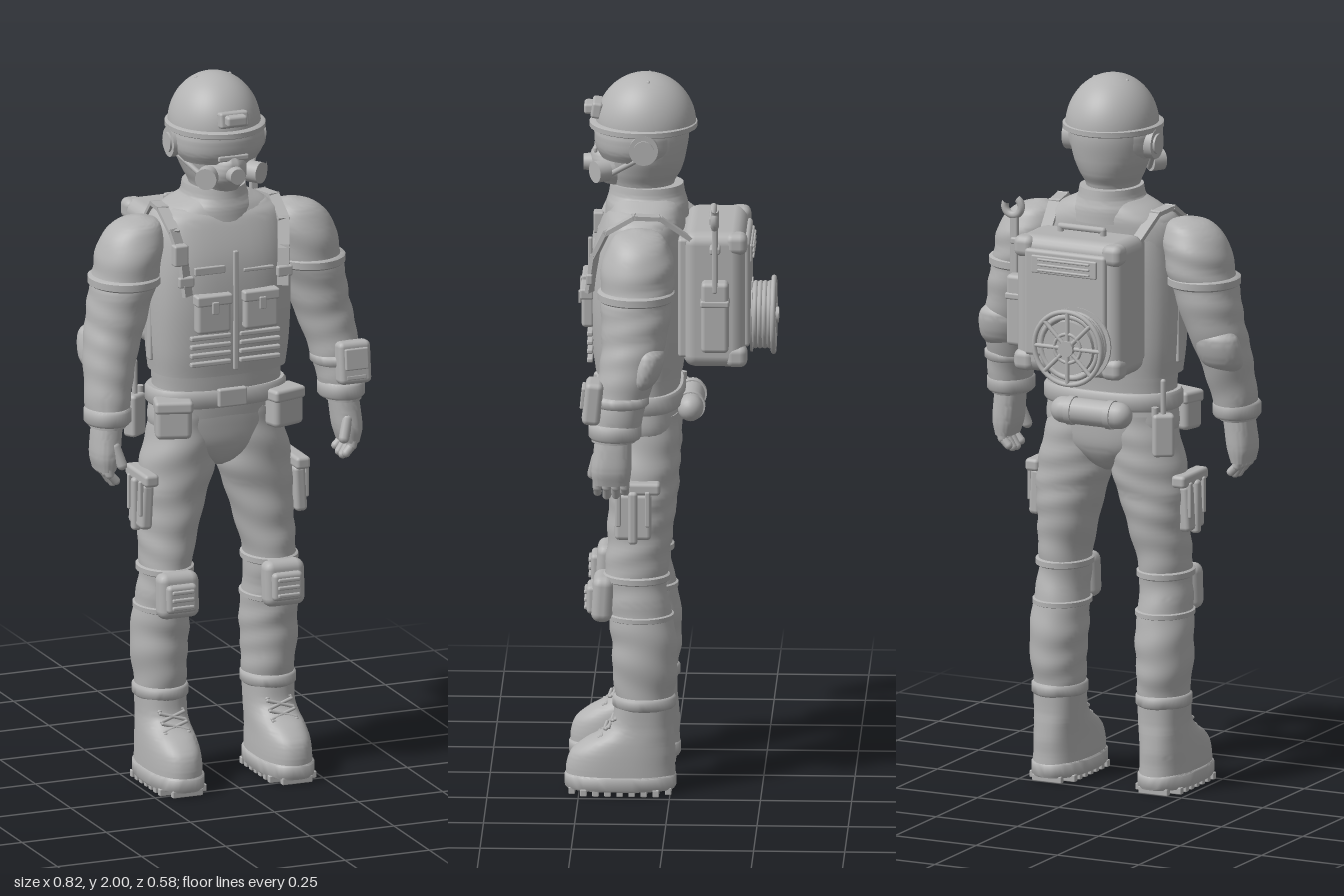
import * as THREE from 'three';
import { toCreasedNormals } from 'three/addons/utils/BufferGeometryUtils.js';
import { RoundedBoxGeometry } from 'three/addons/geometries/RoundedBoxGeometry.js';

const grey = new THREE.MeshStandardMaterial({ color: 0xb3b3b3 });
grey.name = 'plain grey';
const V = (x, y, z) => new THREE.Vector3(x, y, z);

export function createModel() {
  const root = new THREE.Group();
  root.name = 'suitedWorker';
  const add = (name, geo, x = 0, y = 0, z = 0, rx = 0, ry = 0, rz = 0) => {
    const m = new THREE.Mesh(geo, grey);
    m.name = name;
    m.position.set(x, y, z);
    m.rotation.set(rx, ry, rz);
    root.add(m);
    return m;
  };
  const box = (name, w, h, d, x, y, z, r = 0.01, rx = 0, ry = 0, rz = 0) =>
    add(name, new RoundedBoxGeometry(w, h, d, 2, Math.min(r, w / 2.1, h / 2.1, d / 2.1)), x, y, z, rx, ry, rz);
  const cyl = (name, r, h, x, y, z, axis = 'y', r2 = r) =>
    add(name, new THREE.CylinderGeometry(r2, r, h, 28), x, y, z, axis === 'z' ? Math.PI / 2 : 0, 0, axis === 'x' ? Math.PI / 2 : 0);
  // capsule between two points
  const rod = (name, a, b, r) => {
    const m = add(name, new THREE.CapsuleGeometry(r, a.distanceTo(b), 4, 10));
    m.position.copy(a).lerp(b, 0.5);
    m.quaternion.setFromUnitVectors(V(0, 1, 0), b.clone().sub(a).normalize());
  };
  // flat strap through a list of points
  const strap = (name, pts, w, t) => {
    for (let i = 1; i < pts.length; i++) {
      const m = add(name, new THREE.BoxGeometry(w, t, pts[i].distanceTo(pts[i - 1]) + t));
      m.position.copy(pts[i]).lerp(pts[i - 1], 0.5);
      m.lookAt(pts[i]);
    }
  };
  // skin over horizontal sections [y, cx, cz, rx, rz], top to bottom; n sets squareness
  const loft = (name, secs, { n = 2, s = 1, ripple = 0, rows = 6, smooth = true, crease = 0.9 } = {}) => {
    const seg = 40, pos = [], idx = [], last = secs.length - 1;
    const mid = new THREE.CatmullRomCurve3(secs.map(q => V(q[1] * s, q[0], q[2])), false, 'catmullrom', 0.5);
    const rad = new THREE.CatmullRomCurve3(secs.map(q => V(q[3], q[4], 0)), false, 'catmullrom', 0.5);
    const count = smooth ? last * rows : last;
    for (let i = 0; i <= count; i++) {
      const c = smooth ? mid.getPoint(i / count) : mid.points[i];
      const r = smooth ? rad.getPoint(i / count) : rad.points[i];
      for (let j = 0; j < seg; j++) {
        const a = j / seg * Math.PI * 2, ca = Math.cos(a), sa = Math.sin(a);
        const fold = 1 + ripple * (Math.sin(c.y * 75 + 2.2 * Math.sin(a + c.y * 9)) + 0.6 * Math.sin(c.y * 43 - 2 * Math.cos(a)));
        pos.push(c.x + s * Math.sign(ca) * Math.abs(ca) ** (2 / n) * r.x * fold, c.y,
          c.z + Math.sign(sa) * Math.abs(sa) ** (2 / n) * r.y * fold);
      }
    }
    const tri = (a, b, c) => (s > 0 ? idx.push(a, b, c) : idx.push(a, c, b));
    for (let i = 0; i < count; i++) for (let j = 0; j < seg; j++) {
      const k = (j + 1) % seg, a = i * seg;
      tri(a + j, a + k, a + seg + j);
      tri(a + k, a + seg + k, a + seg + j);
    }
    const top = pos.length / 3;
    pos.push(secs[0][1] * s, secs[0][0], secs[0][2], secs[last][1] * s, secs[last][0], secs[last][2]);
    for (let j = 0; j < seg; j++) {
      const k = (j + 1) % seg;
      tri(top, k, j);
      tri(top + 1, count * seg + j, count * seg + k);
    }
    const g = new THREE.BufferGeometry();
    g.setAttribute('position', new THREE.Float32BufferAttribute(pos, 3));
    g.setIndex(idx);
    return add(name, toCreasedNormals(g, crease));
  };
  const band = (name, y, cx, cz, rx, rz, h, s = 1, n = 2) => loft(name, [
    [y + h / 2, cx, cz, rx - 0.006, rz - 0.006], [y + h / 3, cx, cz, rx, rz],
    [y - h / 3, cx, cz, rx, rz], [y - h / 2, cx, cz, rx - 0.006, rz - 0.006]], { s, n, smooth: false });

  // torso, vest, collar and hips
  loft('torso', [[1.66, 0, .07, .09, .085], [1.63, 0, .07, .15, .1], [1.58, 0, .075, .195, .11], [1.45, 0, .085, .2, .12],
    [1.3, 0, .085, .192, .115], [1.15, 0, .085, .182, .108], [1.04, 0, .08, .185, .103]], { n: 2.4, ripple: .004 });
  loft('vest', [[1.635, 0, .075, .14, .085], [1.6, 0, .08, .185, .105], [1.5, 0, .09, .197, .128], [1.38, 0, .094, .202, .133],
    [1.25, 0, .092, .198, .128], [1.17, 0, .09, .19, .12]], { n: 2.8 });
  loft('collar', [[1.69, 0, .07, .085, .1], [1.66, 0, .07, .092, .105], [1.635, 0, .07, .115, .112], [1.6, 0, .07, .125, .115]]);
  loft('hips', [[1.09, 0, .08, .187, .105], [1.02, 0, .078, .192, .105], [.96, 0, .078, .15, .098], [.91, 0, .08, .06, .07], [.89, 0, .08, .02, .04]], { n: 2.3 });

  // head, visor and breathing mask
  loft('head', [[1.93, 0, .07, .09, .09], [1.85, 0, .07, .112, .115], [1.78, 0, .07, .108, .108], [1.73, 0, .075, .09, .1],
    [1.69, 0, .08, .072, .085], [1.64, 0, .07, .07, .08]]);
  loft('visor', [[1.86, 0, .095, .122, .115], [1.84, 0, .095, .128, .12], [1.8, 0, .095, .126, .117], [1.77, 0, .095, .11, .103]], { n: 2.2 });
  loft('mask', [[1.8, 0, .15, .025, .06], [1.77, 0, .15, .052, .075], [1.73, 0, .15, .06, .07], [1.69, 0, .14, .038, .05]]);
  cyl('maskValve', .026, .03, 0, 1.745, .229, 'z', .022);
  box('visorBridge', .09, .016, .01, 0, 1.79, .21, .005);

  // helmet with brim and lamp
  add('helmet', new THREE.SphereGeometry(1, 48, 20, 0, Math.PI * 2, 0, Math.PI / 2), 0, 1.855, .073).scale.set(.127, .145, .138);
  band('helmetBrim', 1.857, 0, .08, .137, .148, .02);
  box('lampMount', .085, .045, .03, 0, 1.9, .207, .008, -.15);
  box('lamp', .06, .03, .035, 0, 1.902, .225, .008);
  for (const s of [-1, 1]) {
    add('helmetRivet', new THREE.SphereGeometry(.006, 10, 8), s * .05, 1.985, .065);
    cyl('earCup', .042, .03, s * .122, 1.815, .075, 'x').scale.set(1, 1, .95);
    cyl('earCupCap', .028, .042, s * .122, 1.815, .075, 'x');
    rod('chinStrap', V(s * .118, 1.785, .09), V(s * .06, 1.72, .18), .008);
    const f = cyl('maskFilter', .03, .038, s * .072, 1.738, .195, 'z');
    f.rotation.set(Math.PI / 2, 0, -s * .6);
  }

  // paired parts
  for (const s of [-1, 1]) {
    loft('sleeve', [[1.618, .225, .085, .012, .012], [1.6, .232, .085, .062, .065], [1.55, .249, .085, .09, .094],
      [1.48, .265, .087, .093, .1], [1.42, .28, .09, .09, .098], [1.34, .3, .093, .084, .09], [1.27, .318, .104, .078, .083],
      [1.18, .336, .124, .068, .073], [1.1, .345, .14, .06, .068], [1.05, .35, .148, .05, .06]], { s, ripple: .018, rows: 8 });
    band('sleeveBand', 1.445, .274, .09, .1, .106, .028, s);
    loft('elbowPad', [[1.32, .325, .06, .045, .03], [1.29, .33, .055, .065, .045], [1.23, .338, .07, .062, .045], [1.19, .342, .09, .04, .03]], { s });
    band('cuff', 1.08, .347, .145, .065, .073, .045, s);
    loft('glove', [[1.06, .35, .15, .04, .05], [1.02, .355, .152, .04, .052], [.97, .36, .155, .038, .055], [.93, .362, .155, .027, .05]], { s, n: 2.4 });
    for (let i = 0; i < 4; i++) {
      const z = .118 + i * .025, drop = [.012, .002, 0, .01][i];
      rod('finger', V(s * .366, .955, z), V(s * .36, .922, z), .0135);
      rod('fingertip', V(s * .36, .922, z), V(s * .342, .892 + drop, z), .012);
    }
    rod('thumb', V(s * .345, 1.0, .195), V(s * .33, .95, .207), .015);

    // legs
    loft('trouserLeg', [[1.06, .09, .078, .09, .095], [.98, .1, .078, .098, .1], [.88, .117, .078, .106, .096], [.8, .13, .079, .095, .092],
      [.7, .145, .087, .08, .088], [.6, .155, .095, .07, .085], [.52, .158, .085, .074, .086], [.43, .162, .072, .079, .09],
      [.34, .162, .07, .075, .088], [.26, .16, .07, .068, .078], [.23, .16, .07, .06, .07]], { s, ripple: .02, rows: 8 });
    band('kneeStrap', .61, .155, .093, .078, .092, .022, s);
    band('lowerKneeStrap', .5, .158, .083, .08, .093, .018, s);
    box('kneePad', .12, .13, .06, s * .157, .553, .185, .025, -.06);
    box('kneePlate', .088, .08, .03, s * .157, .55, .214, .012);
    for (let i = 0; i < 3; i++) box('kneeRib', .065, .011, .01, s * .157, .527 + i * .022, .231, .004);

    // boots
    band('bootCuff', .258, .16, .072, .076, .087, .035, s);
    loft('boot', [[.26, .16, .072, .068, .08], [.2, .16, .077, .066, .084], [.17, .161, .09, .067, .1], [.145, .162, .112, .069, .124],
      [.115, .163, .129, .071, .143], [.08, .163, .136, .073, .149], [.045, .163, .136, .074, .151]], { s, n: 2.4 });
    loft('bootSole', [[.055, .163, .137, .074, .149], [.05, .163, .137, .078, .153], [.02, .163, .137, .078, .153], [.014, .163, .137, .074, .149]], { s, n: 2.5, smooth: false });
    for (let i = 0; i < 9; i++) box('soleLug', i % 8 ? .14 : .09, .02, .018, s * .163, .01, .005 + i * .033, .003);
    for (let i = 0; i < 4; i++) {
      const y = .14 + i * .024, z = .218 - i * .019;
      for (const d of [-1, 1]) rod('lace', V(s * .16 - .035 * d, y, z - .012), V(s * .16 + .035 * d, y + .02, z - .024), .005);
    }

    // thigh pouch with straps
    box('thighPouch', .035, .13, .1, s * .228, .8, .1, .012, 0, 0, s * .05);
    box('thighPouchFlap', .042, .035, .15, s * .225, .88, .1, .01);
    for (const z of [.06, .14]) box('thighPouchStrap', .012, .1, .014, s * .246, .825, z, .004);
    box('thighTool', .028, .15, .026, s * .243, .8, .1, .01);

    // belt pouches and shoulder straps
    box('beltPouch', .1, .1, .07, s * .163, 1.05, .17, .015, 0, s * .3);
    box('beltPouchFlap', .106, .035, .076, s * .163, 1.092, .172, .01, 0, s * .3);
    strap('shoulderStrap', [V(s * .142, 1.42, .222), V(s * .15, 1.52, .208), V(s * .163, 1.59, .175), V(s * .165, 1.635, .1),
      V(s * .155, 1.63, .03), V(s * .14, 1.57, -.05)], .032, .012);
    box('strapBuckle', .045, .03, .018, s * .146, 1.455, .222, .005);

    // chest pouches
    box('chestPouch', .1, .1, .035, s * .07, 1.355, .228, .01);
    box('chestPouchFlap', .106, .03, .038, s * .07, 1.4, .231, .006);
    box('chestPouchTab', .02, .035, .008, s * .07, 1.38, .252, .003);
    for (let i = 0; i < 4; i++) box('webbing', .12, .013, .016, s * .073, 1.215 + i * .025, .222, .004);
    box('sideSeam', .012, .33, .03, s * .198, 1.37, .09, .005);
  }
  box('zipper', .014, .34, .012, 0, 1.36, .226, .004);
  box('chestPatch', .09, .022, .012, -.075, 1.48, .22, .003);
  box('chestPocketLine', .09, .01, .012, .07, 1.47, .22, .003);
  box('strapRadio', .042, .06, .03, -.158, 1.53, .208, .006);

  // belt and its equipment
  band('belt', 1.1, 0, .082, .2, .118, .05, 1, 2.4);
  box('beltBuckle', .085, .052, .02, 0, 1.105, .2, .006);
  const roll = add('beltRoll', new THREE.CapsuleGeometry(.037, .17, 6, 20), 0, 1.07, -.052, 0, 0, Math.PI / 2);
  roll.scale.set(1, 1, .95);
  for (const x of [-.06, .06]) cyl('rollStrap', .04, .018, x, 1.07, -.052, 'x');
  box('beltRadio', .06, .12, .04, -.2, 1.02, -.012, .01, 0, .6);
  rod('radioAntenna', V(-.2, 1.08, -.012), V(-.2, 1.17, -.012), .008);
  cyl('radioKnob', .01, .025, -.18, 1.085, -.022);

  // wrist console on the left arm
  box('wristConsole', .095, .12, .05, .357, 1.165, .205, .015, -.1);
  box('wristScreen', .068, .06, .012, .357, 1.18, .232, .004, -.1);
  box('wristButtons', .06, .014, .012, .357, 1.127, .229, .004, -.1);
  band('wristStrap', 1.165, .339, .13, .072, .078, .03);

  // backpack
  box('backpack', .325, .385, .17, 0, 1.395, -.118, .035);
  box('backpackFrame', .3, .34, .03, 0, 1.4, -.035, .01);
  box('backpackPanel', .25, .3, .022, 0, 1.405, -.205, .01);
  box('panelVentPlate', .2, .05, .01, 0, 1.515, -.217, .004);
  for (let i = 0; i < 3; i++) box('panelVent', .16, .007, .008, 0, 1.5 + i * .015, -.223, .003);
  for (const x of [-.135, .135]) for (const y of [1.235, 1.555]) box('cornerGuard', .06, .06, .06, x, y, -.18, .02);
  rod('packHandle', V(-.065, 1.602, -.11), V(.065, 1.602, -.11), .009);
  for (const x of [-.065, .065]) rod('packHandlePost', V(x, 1.575, -.11), V(x, 1.602, -.11), .009);

  // cable reel
  const rx = -.04, ry = 1.303;
  cyl('reelCore', .075, .06, rx, ry, -.245, 'z');
  for (let i = 0; i < 4; i++) add('reelCable', new THREE.TorusGeometry(.086, .008, 8, 40), rx, ry, -.226 - i * .013);
  cyl('reelInnerDisc', .103, .006, rx, ry, -.216, 'z');
  add('reelRim', new THREE.TorusGeometry(.102, .007, 10, 48), rx, ry, -.276);
  add('reelInnerRing', new THREE.TorusGeometry(.04, .005, 8, 32), rx, ry, -.277);
  cyl('reelHub', .022, .04, rx, ry, -.27, 'z');
  for (let i = 0; i < 8; i++) {
    const a = i * Math.PI / 4;
    rod('reelSpoke', V(rx, ry, -.277), V(rx + .098 * Math.cos(a), ry + .098 * Math.sin(a), -.277), .006);
  }

  // wrench in its side holder
  box('wrenchHolder', .05, .2, .075, .185, 1.36, -.123, .012);
  box('wrenchHolderStrap', .054, .02, .08, .185, 1.4, -.123, .006);
  box('wrenchHandle', .024, .2, .016, .2, 1.53, -.123, .006);
  box('wrenchClip', .045, .02, .03, .185, 1.55, -.123, .006);
  add('wrenchJaw', new THREE.TorusGeometry(.025, .011, 8, 24, 4.6), .205, 1.645, -.123, 0, 0, 2.15);
  return root;
}
